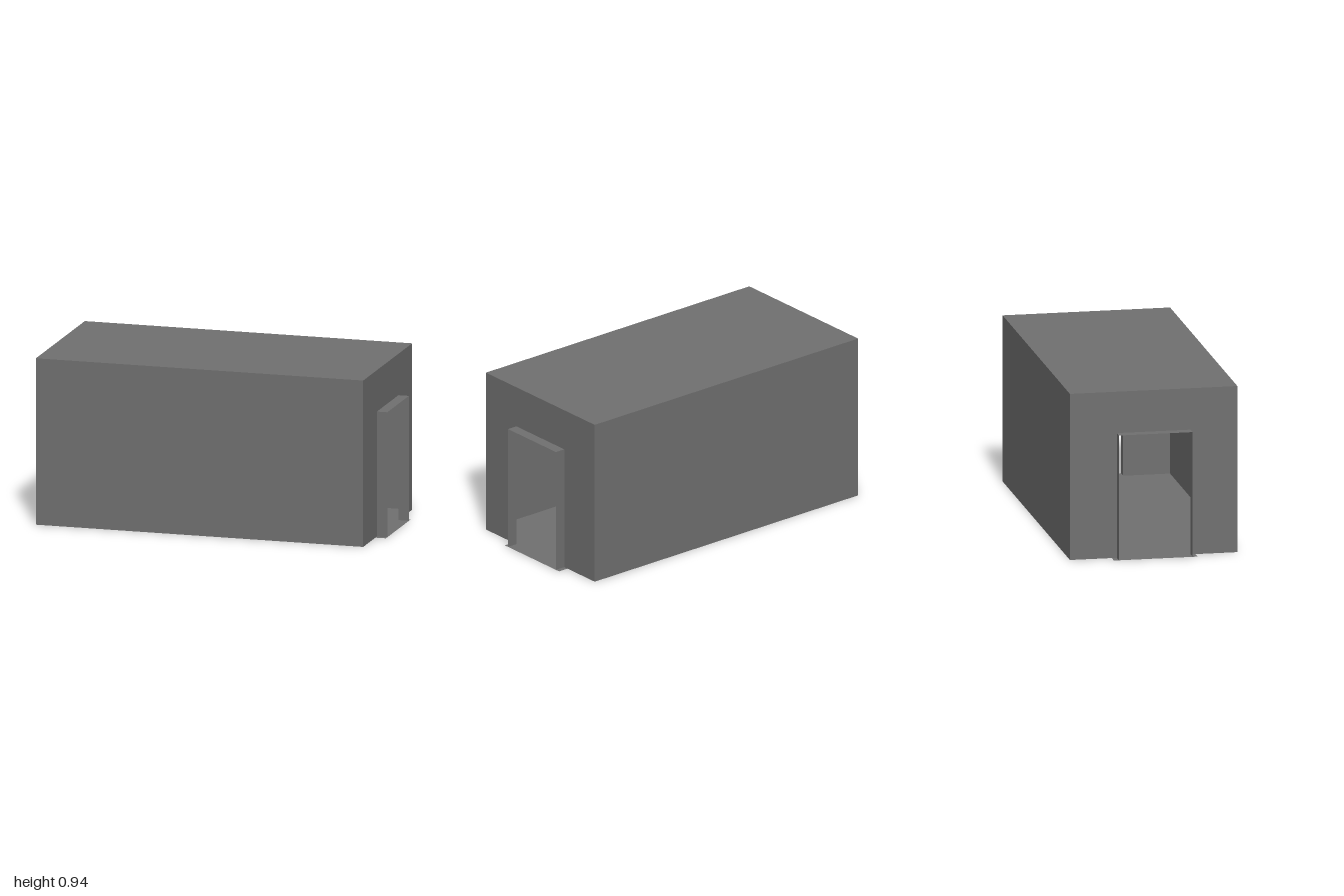
import * as THREE from 'three';

const L = 0.94, W = 0.47, H = 0.94;            // body half length, half width, height
const DOOR_W = 0.207, DOOR_H = 0.706;          // door opening half width, height
const END = 1, SILL_W = 0.235;                 // outer end of the door frames, sill half width

const material = new THREE.MeshStandardMaterial({ color: 0x6f6f6f, side: THREE.DoubleSide });

function add(parent, name, geometry, x = 0, y = 0, z = 0) {
  const mesh = new THREE.Mesh(geometry, material);
  mesh.name = name;
  mesh.position.set(x, y, z);
  parent.add(mesh);
}

const outline = (points) =>
  new THREE.ShapeGeometry(new THREE.Shape(points.map(([x, y]) => new THREE.Vector2(x, y))));

export function createModel() {
  const model = new THREE.Group();
  model.name = 'corridorModule';

  // Flat floor with a sill reaching out at each doorway
  add(model, 'floor', outline([
    [-L, -W], [L, -W], [L, -SILL_W], [END, -SILL_W], [END, SILL_W], [L, SILL_W],
    [L, W], [-L, W], [-L, SILL_W], [-END, SILL_W], [-END, -SILL_W], [-L, -SILL_W],
  ]).rotateX(-Math.PI / 2));

  // Roof and long walls are thin sheets
  add(model, 'roof', new THREE.PlaneGeometry(2 * L, 2 * W).rotateX(-Math.PI / 2), 0, H, 0);
  add(model, 'frontWall', new THREE.PlaneGeometry(2 * L, H), 0, H / 2, W);
  add(model, 'backWall', new THREE.PlaneGeometry(2 * L, H).rotateY(Math.PI), 0, H / 2, -W);

  // End walls with a doorway, each with a thin projecting frame
  for (const side of [1, -1]) {
    const end = new THREE.Group();
    end.name = side > 0 ? 'leftEnd' : 'rightEnd';
    if (side < 0) end.rotation.y = Math.PI;
    const depth = END - L, mid = (END + L) / 2;

    add(end, 'endWall', outline([
      [-W, 0], [-DOOR_W, 0], [-DOOR_W, DOOR_H], [DOOR_W, DOOR_H], [DOOR_W, 0],
      [W, 0], [W, H], [-W, H],
    ]).rotateY(Math.PI / 2), L, 0, 0);

    add(end, 'doorLintel',
      new THREE.PlaneGeometry(depth, 2 * DOOR_W).rotateX(-Math.PI / 2), mid, DOOR_H, 0);
    add(end, 'doorJambA', new THREE.PlaneGeometry(depth, DOOR_H), mid, DOOR_H / 2, DOOR_W);
    add(end, 'doorJambB',
      new THREE.PlaneGeometry(depth, DOOR_H).rotateY(Math.PI), mid, DOOR_H / 2, -DOOR_W);
    model.add(end);
  }
  return model;
}
